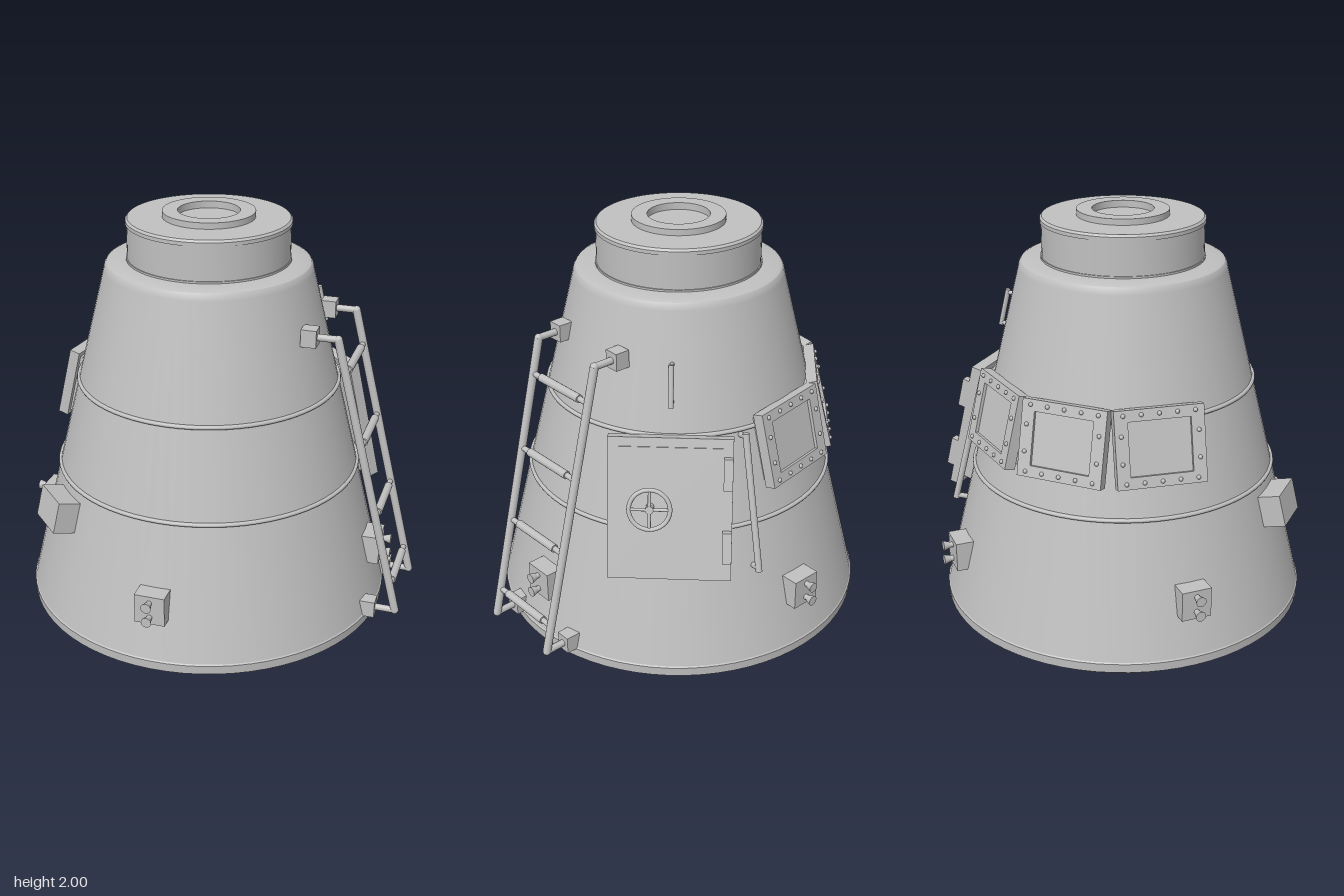
import * as THREE from 'three';
import { toCreasedNormals } from 'three/addons/utils/BufferGeometryUtils.js';

const SLOPE = 0.247;
const TILT = Math.atan(SLOPE);
const wallRadius = (y) => 0.865 - SLOPE * (y - 0.17);

export function createModel() {
  const model = new THREE.Group();
  const grey = new THREE.MeshStandardMaterial({ color: 0xc0c0c0 });
  grey.name = 'hull grey';

  const add = (parent, name, geometry, x = 0, y = 0, z = 0) => {
    const mesh = new THREE.Mesh(geometry, grey);
    mesh.name = name;
    mesh.position.set(x, y, z);
    parent.add(mesh);
    return mesh;
  };
  const box = (parent, name, w, h, d, x, y, z) => add(parent, name, new THREE.BoxGeometry(w, h, d), x, y, z);
  const rod = (parent, name, a, b, r, r2 = r) => {
    const from = new THREE.Vector3(...a), to = new THREE.Vector3(...b);
    const dir = to.clone().sub(from);
    const mesh = add(parent, name, new THREE.CylinderGeometry(r2, r, dir.length(), 16));
    mesh.position.copy(from).add(to).multiplyScalar(0.5);
    mesh.quaternion.setFromUnitVectors(new THREE.Vector3(0, 1, 0), dir.normalize());
    return mesh;
  };
  const lathe = (name, pts) => add(model, name, toCreasedNormals(
    new THREE.LatheGeometry(pts.map(([r, y]) => new THREE.Vector2(r, y)), 72), 0.45));
  // Group turned so that local +z points outward at an azimuth (0 = front, 90 = +x)
  const radial = (name, degrees) => {
    const g = new THREE.Group();
    g.name = name;
    g.rotation.y = THREE.MathUtils.degToRad(degrees);
    model.add(g);
    return g;
  };
  // Same, but lying on the sloping wall at height y
  const onWall = (name, degrees, y) => {
    const turn = radial(name, degrees);
    const g = new THREE.Group();
    g.name = name + 'Mount';
    g.position.set(0, y, wallRadius(y));
    g.rotation.x = -TILT;
    turn.add(g);
    return g;
  };

  // Hull: shallow dish, rim, cone and rounded shoulder
  lathe('heatShield', [[0, 0], [0.2, 0.004], [0.4, 0.018], [0.6, 0.043], [0.74, 0.069],
    [0.81, 0.088], [0.845, 0.105], [0.862, 0.125], [0.862, 0.13]]);
  lathe('rim', [[0.855, 0.118], [0.868, 0.122], [0.87, 0.165], [0.864, 0.172]]);
  lathe('coneHull', [[0.865, 0.17], [wallRadius(1.74), 1.74], [0.473, 1.758], [0.464, 1.771],
    [0.449, 1.778], [0.36, 1.782]]);

  // Docking collar with a raised central ring
  lathe('dockingCollar', [[0.375, 1.775], [0.375, 1.79], [0.37, 1.79], [0.37, 1.945],
    [0.375, 1.945], [0.375, 1.962], [0.366, 1.972], [0.21, 1.972]]);
  lathe('dockingRing', [[0.21, 1.96], [0.21, 2], [0.14, 2], [0.14, 1.968], [0, 1.968]]);

  // Raised bands around the cone
  for (const y of [0.795, 1.215]) {
    const band = add(model, 'hullBand', new THREE.TorusGeometry(wallRadius(y) + 0.002, 0.01, 10, 72), 0, y, 0);
    band.rotation.x = Math.PI / 2;
  }

  // Windows: bolted frames around panes
  const frameShape = new THREE.Shape([[-0.2, -0.172], [0.2, -0.172], [0.2, 0.172], [-0.2, 0.172]]
    .map((p) => new THREE.Vector2(...p)));
  frameShape.holes.push(new THREE.Path([[-0.14, -0.12], [-0.14, 0.12], [0.14, 0.12], [0.14, -0.12]]
    .map((p) => new THREE.Vector2(...p))));
  const frameGeometry = new THREE.ExtrudeGeometry(frameShape, { depth: 0.05, bevelEnabled: false });
  const boltGeometry = new THREE.SphereGeometry(0.01, 10, 8);
  for (const degrees of [143, 180, 217]) {
    const g = onWall('window', degrees, 1.11);
    add(g, 'windowFrame', frameGeometry, 0, 0, -0.005);
    box(g, 'windowPane', 0.29, 0.25, 0.04, 0, 0, 0.01);
    box(g, 'windowBacking', 0.36, 0.3, 0.06, 0, 0, -0.03);
    for (const s of [-1, 1]) {
      for (let i = -2; i <= 2; i++) add(g, 'bolt', boltGeometry, i * 0.08, s * 0.148, 0.046);
      for (const y of [-0.06, 0.06]) add(g, 'bolt', boltGeometry, s * 0.172, y, 0.046);
    }
  }

  // Hatch with hinges and a hand wheel
  const hatch = onWall('hatch', 90, 0.91);
  box(hatch, 'hatchDoor', 0.54, 0.64, 0.05, 0, 0, 0.031);
  box(hatch, 'hatchFrame', 0.46, 0.58, 0.1, 0, 0, -0.04);
  box(hatch, 'hatchSeam', 0.45, 0.008, 0.008, 0, 0.275, 0.057);
  for (const y of [-0.16, 0.17]) box(hatch, 'hatchHinge', 0.04, 0.14, 0.05, 0.25, y, 0.065);
  const wheel = new THREE.Group();
  wheel.name = 'handWheel';
  wheel.position.set(-0.085, 0.01, 0.095);
  hatch.add(wheel);
  add(wheel, 'wheelRim', new THREE.TorusGeometry(0.089, 0.01, 10, 36));
  rod(wheel, 'wheelSpoke', [-0.088, 0, 0], [0.088, 0, 0], 0.007);
  rod(wheel, 'wheelSpoke', [0, -0.088, 0], [0, 0.088, 0], 0.007);
  rod(wheel, 'wheelShaft', [0, 0, -0.045], [0, 0, 0.01], 0.018);

  // Grab rails beside and above the hatch
  const grabRail = (degrees, y, half, off, r) => {
    const g = onWall('grabRail', degrees, y);
    rod(g, 'grabBar', [0, -half, off], [0, half, off], r);
    for (const s of [-1, 1]) {
      const e = s * (half - r);
      rod(g, 'grabPost', [0, e, -0.02], [0, e, off], r * 0.85);
    }
  };
  grabRail(119, 0.895, 0.32, 0.05, 0.015);
  grabRail(90, 1.44, 0.093, 0.07, 0.012);

  // Ladder standing off the wall
  const ladder = radial('ladder', 45);
  const railZ = (y) => 0.65 + SLOPE * (1.53 - y);
  for (const x of [-0.195, 0.195]) {
    rod(ladder, 'ladderRail', [x, 0.205, railZ(0.205)], [x, 1.53, railZ(1.53)], 0.019);
    for (const y of [0.205, 1.53]) {
      const z = wallRadius(y) - 0.005;
      box(ladder, 'ladderBracket', 0.07, 0.08, 0.07, x, y, z);
      rod(ladder, 'ladderStub', [x, y, z], [x, y, railZ(y)], 0.016);
      add(ladder, 'ladderElbow', new THREE.SphereGeometry(0.019, 14, 10), x, y, railZ(y));
    }
  }
  for (const y of [0.33, 0.68, 1.025, 1.37]) {
    rod(ladder, 'ladderRung', [-0.195, y, railZ(y)], [0.195, y, railZ(y)], 0.013);
    rod(ladder, 'ladderRungGrip', [-0.135, y, railZ(y)], [0.135, y, railZ(y)], 0.019);
  }

  // Thruster blocks with paired nozzles
  for (const degrees of [45, 135, 225, 315]) {
    const g = radial('thruster', degrees);
    box(g, 'thrusterBlock', 0.14, 0.14, 0.13, 0, 0.43, 0.8);
    for (const y of [0.395, 0.468]) {
      rod(g, 'thrusterNeck', [0, y, 0.86], [0, y, 0.89], 0.013);
      rod(g, 'thrusterNozzle', [0, y, 0.88], [0, y, 0.91], 0.015, 0.024);
    }
  }

  // Equipment box opposite the hatch
  const equipment = onWall('equipment', 270, 0.67);
  box(equipment, 'equipmentBox', 0.21, 0.15, 0.13, 0, 0, 0.032);

  return model;
}
